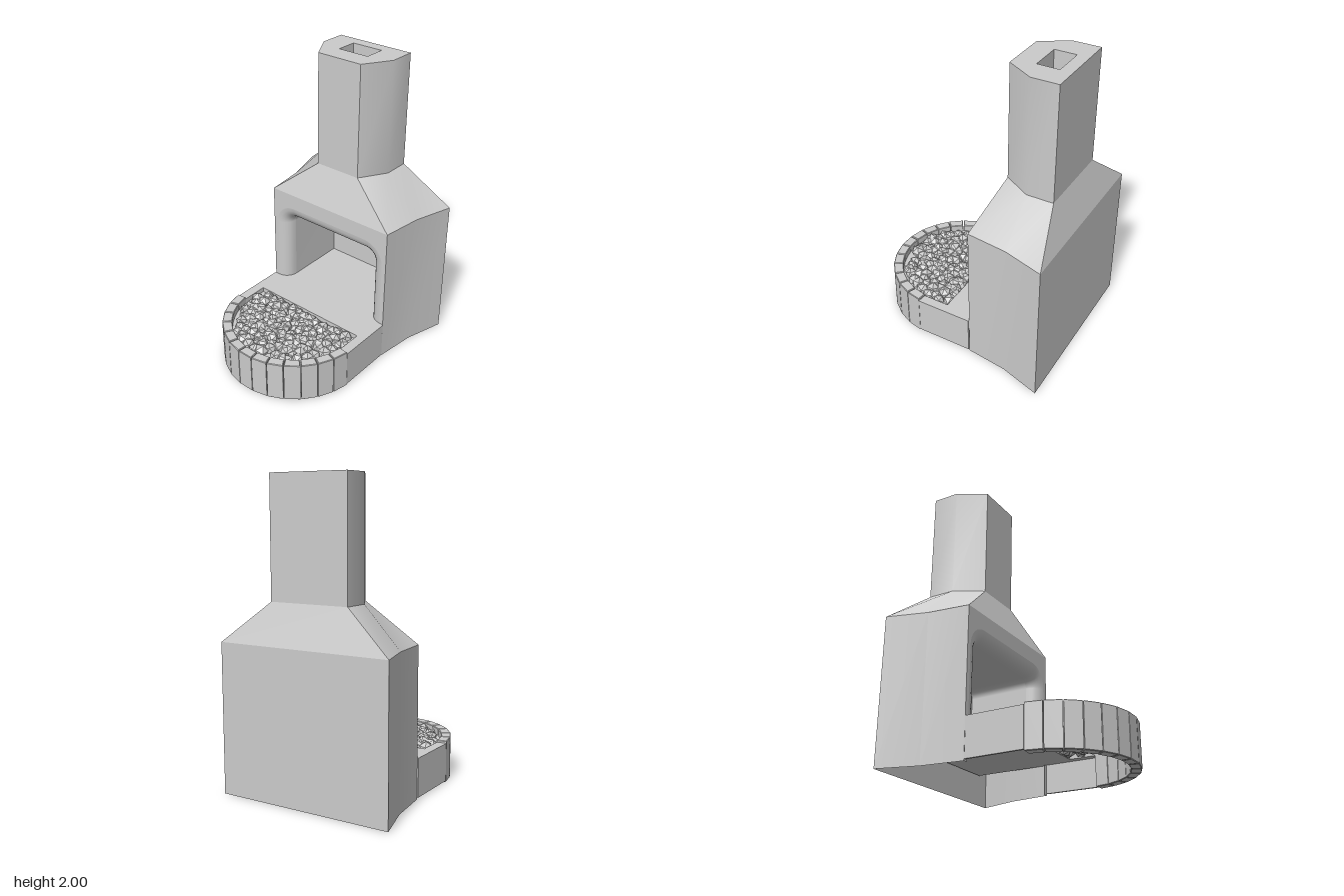
import * as THREE from 'three';
import { mergeGeometries, toCreasedNormals } from 'three/addons/utils/BufferGeometryUtils.js';

const smooth = new THREE.MeshStandardMaterial({ color: 0xcccccc, side: THREE.DoubleSide });
const faceted = new THREE.MeshStandardMaterial({ color: 0xcccccc, flatShading: true, side: THREE.DoubleSide });
const inward = new THREE.MeshStandardMaterial({ color: 0xcccccc, side: THREE.BackSide });

// Plan outlines as [x, z], front-left corner round to front-right
const mirrorPlan = (half) => [...half, ...half.map(([x, z]) => [-x, z]).reverse()];
const BODY = mirrorPlan([[0.485, -0.14], [0.52, -0.42], [0.6, -0.69]]);
const STACK = mirrorPlan([[0.275 * 0.6, -0.235], [0.275, -0.42], [0.275, -0.6]]);
const ARC_Z = 0.2, OUTER = 0.49, INNER = 0.425;

function rng(seed) {
  return () => (seed = (seed * 16807) % 2147483647) / 2147483647;
}

function add(group, name, geometry, material = smooth) {
  const mesh = new THREE.Mesh(geometry, material);
  mesh.name = name;
  group.add(mesh);
  return mesh;
}

function shapeOf(points) {
  return new THREE.Shape(points.map(([x, y]) => new THREE.Vector2(x, y)));
}

// Plan shape [x, z] laid flat, facing up
const planShape = (points) => shapeOf(points.map(([x, z]) => [x, -z]));

// Skin over a series of equal-length rings of Vector3
function skin(rings, closed) {
  const n = rings[0].length, index = [];
  for (let r = 0; r < rings.length - 1; r++) {
    for (let i = 0; i < (closed ? n : n - 1); i++) {
      const a = r * n + i, b = r * n + ((i + 1) % n);
      index.push(a, b, b + n, a, b + n, a + n);
    }
  }
  const geometry = new THREE.BufferGeometry().setFromPoints(rings.flat());
  geometry.setIndex(index);
  geometry.computeVertexNormals();
  return geometry;
}

function tier(lower, y0, upper, y1, closed = true) {
  const ring = (plan, y) => plan.map(([x, z]) => new THREE.Vector3(x, y, z));
  return toCreasedNormals(skin([ring(lower, y0), ring(upper, y1)], closed), 0.6);
}

// Arched outline of the fire opening, grown outward by d
function openingOutline(d, base) {
  const w = 0.365 + d, top = 0.78 + d, r = 0.06 + d, pts = [[w, base]];
  for (const side of [1, -1]) {
    for (let i = 0; i <= 8; i++) {
      const a = (side > 0 ? 0 : Math.PI / 2) + (i / 8) * Math.PI / 2;
      pts.push([side * (w - r) + r * Math.cos(a), top - r + r * Math.sin(a)]);
    }
  }
  pts.push([-w, base]);
  return pts;
}

function buildFireplace() {
  const g = new THREE.Group();
  g.name = 'fireplace';
  add(g, 'bodyWalls', tier(BODY, 0, BODY, 0.975, false));
  add(g, 'hood', tier(BODY, 0.975, STACK, 1.235));
  add(g, 'chimney', tier(STACK, 1.235, STACK, 2));

  // Chimney cap with its flue
  const cap = planShape(STACK);
  cap.holes.push(planShape([[-0.11, -0.52], [-0.11, -0.375], [0.11, -0.375], [0.11, -0.52]]));
  add(g, 'chimneyTop', new THREE.ShapeGeometry(cap).rotateX(-Math.PI / 2)).position.y = 2;
  add(g, 'flue', new THREE.BoxGeometry(0.22, 0.4, 0.145), inward).position.set(0, 1.8, -0.4475);

  // Front wall around the opening
  const fillet = 0.09;
  const front = shapeOf([
    [0.485, 0], [0.485, 0.975], [-0.485, 0.975], [-0.485, 0],
    ...openingOutline(fillet, 0).reverse(),
  ]);
  add(g, 'frontWall', new THREE.ShapeGeometry(front)).position.z = -0.14;

  // Rounded lip rolling into the firebox
  const ringAt = (d, z) => openingOutline(d, 0.2).map(([x, y]) => new THREE.Vector3(x, y, z));
  const lip = [];
  for (let i = 0; i <= 6; i++) {
    const a = (i / 6) * Math.PI / 2;
    lip.push(ringAt(fillet * (1 - Math.sin(a)), -0.14 - fillet * (1 - Math.cos(a))));
  }
  lip.reverse();
  add(g, 'openingLip', skin(lip, false));
  add(g, 'fireboxWalls', skin([ringAt(0, -0.67), ringAt(0, -0.14 - fillet)], false));
  add(g, 'fireboxBack', new THREE.ShapeGeometry(shapeOf(openingOutline(0, 0.2)))).position.z = -0.67;
  return g;
}

function buildHearth() {
  const g = new THREE.Group();
  g.name = 'hearth';

  // Slab reaching into the firebox, with two arms beside the gravel bed
  const slab = planShape(mirrorPlan([[0.485, 0.25], [0.485, -0.67]]).concat(
    [[-INNER, 0.25], [-INNER, 0.065], [INNER, 0.065], [INNER, 0.25]]));
  const slabGeo = new THREE.ExtrudeGeometry(slab, { depth: 0.065, bevelEnabled: false });
  add(g, 'slab', slabGeo.rotateX(-Math.PI / 2), faceted).position.y = 0.2;
  for (const s of [1, -1]) {
    add(g, 'slabSide', new THREE.BoxGeometry(0.015, 0.255, 0.385)).position.set(s * 0.4825, 0.1375, 0.0575);
  }

  // Curved border of wedge-shaped bricks
  const count = 13, start = 0.1, step = (Math.PI - 2 * start) / count, b = 0.004;
  const half = Math.tan(step / 2), ro = OUTER - b, ri = INNER + b, gap = 0.0025 + b;
  const wedge = planShape([
    [-(ro * half - gap), ro], [ro * half - gap, ro], [ri * half - gap, ri], [-(ri * half - gap), ri],
  ]);
  const brick = new THREE.ExtrudeGeometry(wedge, {
    depth: 0.28 - 2 * b, bevelThickness: b, bevelSize: b, bevelSegments: 1,
  }).rotateX(-Math.PI / 2).translate(0, b, 0);
  for (let i = 0; i < count; i++) {
    const mesh = add(g, 'borderBrick', brick, faceted);
    mesh.position.z = ARC_Z;
    mesh.rotation.y = (i - (count - 1) / 2) * step;
  }

  // Bed under the gravel
  const bed = [[INNER, 0.065], [-INNER, 0.065]];
  for (let i = 0; i <= 24; i++) {
    const a = Math.PI - (i / 24) * Math.PI;
    bed.push([INNER * Math.cos(a), ARC_Z + INNER * Math.sin(a)]);
  }
  add(g, 'gravelBed', new THREE.ShapeGeometry(planShape(bed)).rotateX(-Math.PI / 2)).position.y = 0.232;

  // Gravel: jittered rows of faceted stones
  const rand = rng(4711), stones = [], pitch = 0.058;
  for (let row = 0; row < 10; row++) {
    for (let col = -8; col <= 8; col++) {
      const x = (col + (row % 2) / 2) * pitch + (rand() - 0.5) * 0.025;
      const z = 0.105 + row * pitch * 0.9 + (rand() - 0.5) * 0.025;
      const size = 0.04 + rand() * 0.012;
      if (Math.abs(x) > INNER - 0.035) continue;
      if (z > ARC_Z && Math.hypot(x, z - ARC_Z) > INNER - 0.03) continue;
      const stone = new THREE.IcosahedronGeometry(size, 0);
      stone.rotateX(rand() * 6).rotateY(rand() * 6).rotateZ(rand() * 6);
      stones.push(stone.translate(x, 0.228 + rand() * 0.014, z));
    }
  }
  add(g, 'gravel', mergeGeometries(stones), faceted);
  return g;
}

export function createModel() {
  const model = new THREE.Group();
  model.name = 'outdoorFireplace';
  model.add(buildFireplace(), buildHearth());
  return model;
}
